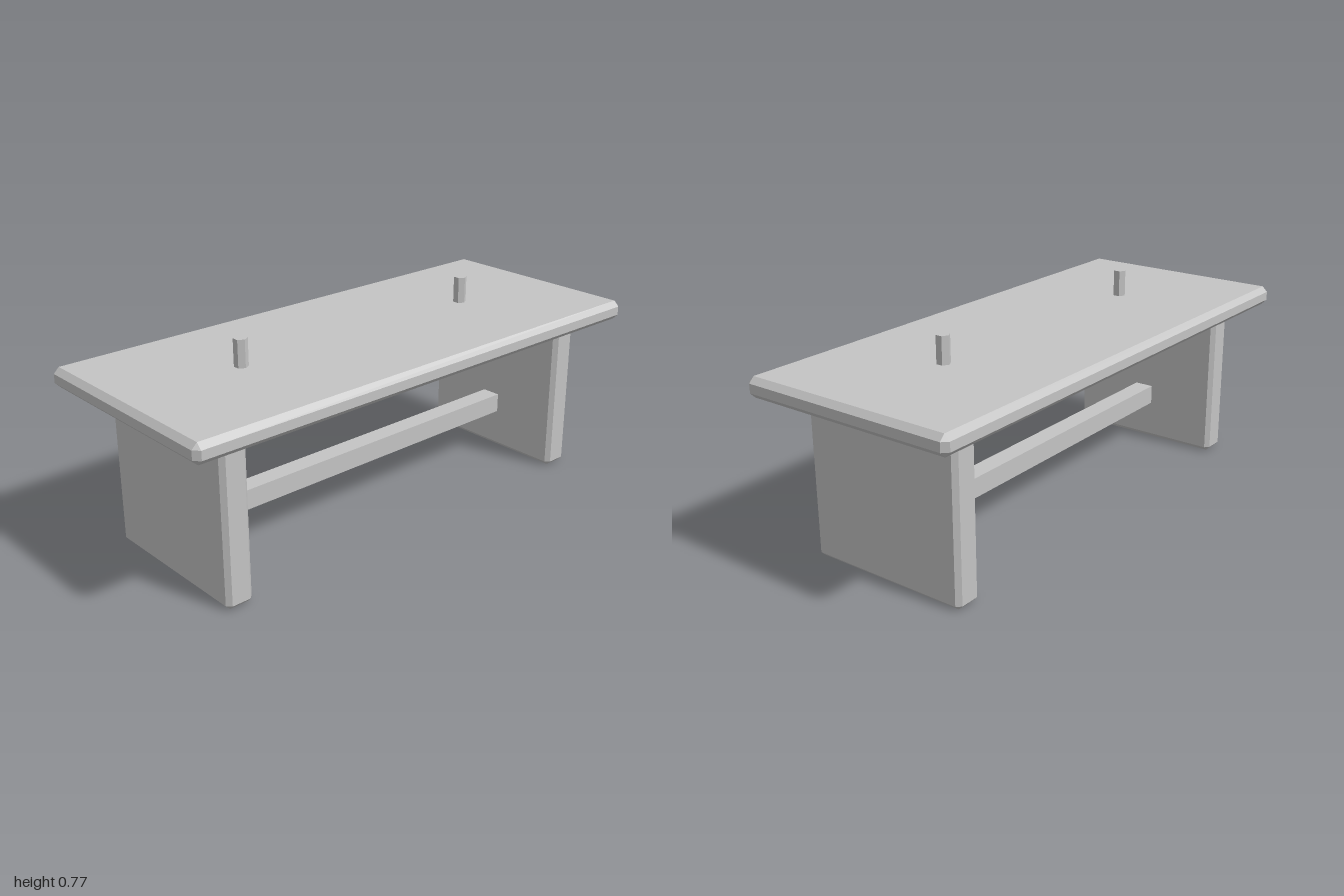
import * as THREE from 'three';
import { ConvexGeometry } from 'three/addons/geometries/ConvexGeometry.js';

// Box with every edge cut at 45 degrees, given full size and bevel width
function chamferBox(w, h, d, b) {
  const points = [];
  for (const sx of [-1, 1]) for (const sy of [-1, 1]) for (const sz of [-1, 1]) {
    const [x, y, z] = [w / 2, h / 2, d / 2];
    points.push(
      new THREE.Vector3(sx * x, sy * (y - b), sz * (z - b)),
      new THREE.Vector3(sx * (x - b), sy * y, sz * (z - b)),
      new THREE.Vector3(sx * (x - b), sy * (y - b), sz * z));
  }
  return new ConvexGeometry(points);
}

export function createModel() {
  const model = new THREE.Group();
  model.name = 'bench';
  const grey = new THREE.MeshStandardMaterial({ color: 0xc4c4c4, flatShading: true });
  grey.name = 'plain grey';

  const add = (name, geometry, x, y, z) => {
    const mesh = new THREE.Mesh(geometry, grey);
    mesh.name = name;
    mesh.position.set(x, y, z);
    model.add(mesh);
  };

  // Bevelled slab
  add('benchTop', chamferBox(2, 0.073, 0.84, 0.02), 0, 0.6335, 0);

  // Bar between the legs
  add('stretcher', new THREE.BoxGeometry(1.52, 0.075, 0.075), 0, 0.1925, 0);

  // Panel legs and the hexagonal pegs standing out of the top
  const legGeometry = chamferBox(0.103, 0.64, 0.632, 0.016);
  const pegGeometry = new THREE.CylinderGeometry(0.025, 0.025, 0.13, 6);
  for (const [side, s] of [['left', 1], ['right', -1]]) {
    add(side + 'Leg', legGeometry, s * 0.792, 0.32, 0);
    add(side + 'Peg', pegGeometry, s * 0.526, 0.705, 0);
  }
  return model;
}
